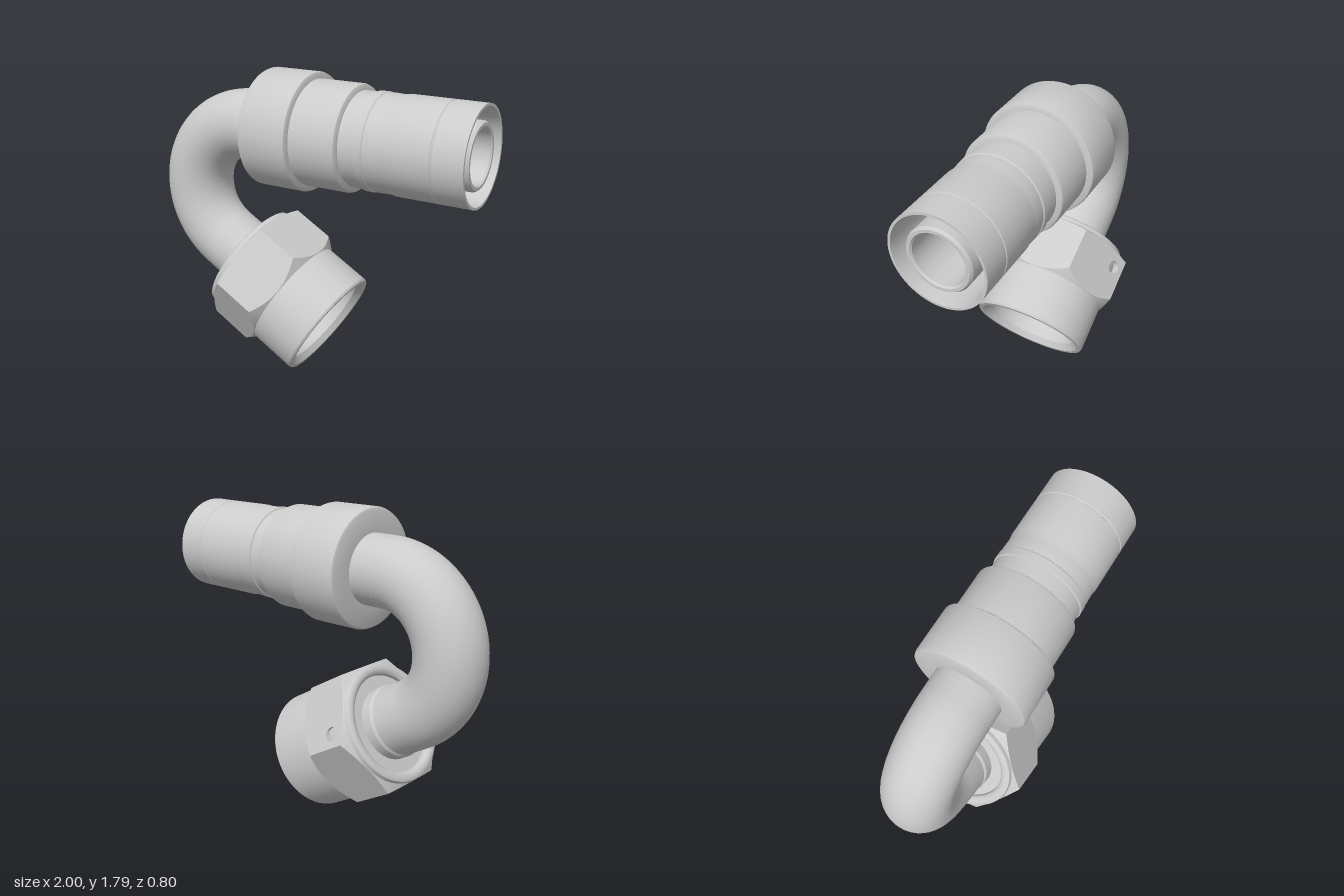
import * as THREE from 'three';
import { toCreasedNormals } from 'three/addons/utils/BufferGeometryUtils.js';

const RAD = Math.PI / 180;
const PIPE = 0.197, BORE = 0.147;   // pipe radii
const BEND = 0.4;                   // bend radius of the pipe centreline
const FLAT = 0.346;                 // hexagon centre to flat
const material = new THREE.MeshStandardMaterial({ color: 0xcccccc, side: THREE.DoubleSide });

function add(parent, name, geometry, crease = 30) {
  const mesh = new THREE.Mesh(toCreasedNormals(geometry, crease * RAD), material);
  mesh.name = name;
  parent.add(mesh);
  return mesh;
}

// Turned part: profile of [radius, distance along axis]
function turned(parent, name, profile) {
  const points = profile.map(([r, y]) => new THREE.Vector2(r, y));
  return add(parent, name, new THREE.LatheGeometry(points, 72));
}

// Hexagon edge curves where the conical chamfers cut the flats
const frontEdge = r => 0.54 - (r - FLAT) * 1.0;
const backEdge = r => 0.212 + (r - FLAT) * 0.4;

// One flat of the hexagon, optionally with a round hole
function hexFlat(hole) {
  const half = FLAT * Math.tan(30 * RAD), n = 12, points = [];
  for (let i = 0; i <= n; i++) {
    const s = -half + 2 * half * i / n;
    points.push(new THREE.Vector2(s, backEdge(Math.hypot(s, FLAT))));
  }
  for (let i = n; i >= 0; i--) {
    const s = -half + 2 * half * i / n;
    points.push(new THREE.Vector2(s, frontEdge(Math.hypot(s, FLAT))));
  }
  const shape = new THREE.Shape(points);
  if (hole) shape.holes.push(new THREE.Path().absarc(hole.s, hole.t, hole.r, 0, Math.PI * 2, true));
  return new THREE.ShapeGeometry(shape, 16).translate(0, 0, FLAT);
}

// Chamfer strip between the scalloped hexagon edge and the round body
function chamfer(edge, roundAt, hexOnTop) {
  const g = new THREE.CylinderGeometry(1, 1, 1, 72, 1, true);
  const p = g.attributes.position;
  for (let i = 0; i < p.count; i++) {
    const angle = Math.atan2(p.getZ(i), p.getX(i));
    const off = angle - Math.round(angle / (60 * RAD)) * 60 * RAD;
    const hexR = FLAT / Math.cos(off);
    const onHex = (p.getY(i) > 0) === hexOnTop;
    const r = onHex ? hexR : 0.343;
    p.setXYZ(i, r * Math.cos(angle), onHex ? edge(hexR) : roundAt, r * Math.sin(angle));
  }
  return g;
}

function makeBend() {
  const bend = new THREE.Group();
  bend.name = 'pipeBend';
  for (const [name, r] of [['bendOuter', PIPE], ['bendBore', BORE]]) {
    add(bend, name, new THREE.TorusGeometry(BEND, r, 40, 72, 150 * RAD));
  }
  bend.rotation.z = 90 * RAD;
  bend.position.set(-0.4, 1.06, 0);
  return bend;
}

// Hose end: crimped sleeve around an inner nipple, axis along local y
function makeHoseEnd() {
  const hose = new THREE.Group();
  hose.name = 'hoseEnd';
  turned(hose, 'sleeve', [
    [PIPE, -0.278], [0.315, -0.278], [0.328, -0.272], [0.334, -0.258],
    [0.334, 0.01], [0.331, 0.02], [0.322, 0.025], [0.297, 0.028],
    [0.297, 0.285], [0.292, 0.299], [0.28, 0.305], [0.262, 0.308],
    [0.262, 0.398], [0.27, 0.402], [0.27, 0.445], [0.264, 0.45],
    [0.264, 0.455], [0.267, 0.48], [0.265, 0.52], [0.265, 0.55], [0.27, 0.575],
    [0.27, 0.82], [0.266, 0.823], [0.266, 0.828], [0.27, 0.832],
    [0.27, 1], [0.256, 1], [0.25, 0.96], [0.25, 0.32], [PIPE, 0.32],
  ]);
  turned(hose, 'nipple', [
    [PIPE, -0.4], [PIPE, 0.34], [0.182, 0.36], [0.182, 0.975], [0.172, 0.99],
    [0.155, 0.99], [BORE, 0.98], [BORE, -0.4],
  ]);
  hose.rotation.z = -90 * RAD;
  hose.position.y = 1.46;
  return hose;
}

// Swivel nut on the lower pipe end, axis along local y
function makeNut() {
  const nut = new THREE.Group();
  nut.name = 'swivelNut';
  turned(nut, 'nutBody', [
    [PIPE, 0.215], [0.278, 0.215], [0.28, 0.195], [0.29, 0.183], [0.305, 0.177],
    [0.325, 0.177], [0.338, 0.184], [0.343, 0.197], [0.343, 0.82],
    [0.336, 0.831], [0.312, 0.831], [0.28, 0.795], [0.28, 0.5], [0.22, 0.44],
  ]);
  turned(nut, 'pipeEnd', [
    [PIPE, 0], [PIPE, 0.14], [0.206, 0.155], [0.206, 0.22], [0.235, 0.44],
    [0.238, 0.59], [0.232, 0.6], [0.202, 0.6], [BORE, 0.33], [BORE, 0],
  ]);
  add(nut, 'frontChamfer', chamfer(frontEdge, 0.542, false), 20);
  add(nut, 'backChamfer', chamfer(backEdge, 0.208, true), 20);

  // Six flats, two of them with a small blind hole
  const hole = { s: -0.12, t: 0.31, r: 0.04 };
  for (let i = 0; i < 6; i++) {
    const drilled = i === 0 || i === 2;
    const side = new THREE.Group();
    side.name = 'hexSide';
    add(side, 'hexFlat', hexFlat(drilled ? hole : null));
    if (drilled) {
      const pocket = turned(side, 'blindHole', [[0, -0.06], [hole.r, -0.06], [hole.r, 0]]);
      pocket.rotation.x = 90 * RAD;
      pocket.position.set(hole.s, hole.t, FLAT);
    }
    side.rotation.y = (90 + 60 * i) * RAD;
    nut.add(side);
  }
  nut.rotation.z = -120 * RAD;
  nut.position.set(-0.4 - BEND * 0.5, 1.06 - BEND * Math.sin(60 * RAD), 0);
  return nut;
}

export function createModel() {
  const model = new THREE.Group();
  model.name = 'hoseFitting';
  model.add(makeBend(), makeHoseEnd(), makeNut());
  return model;
}
